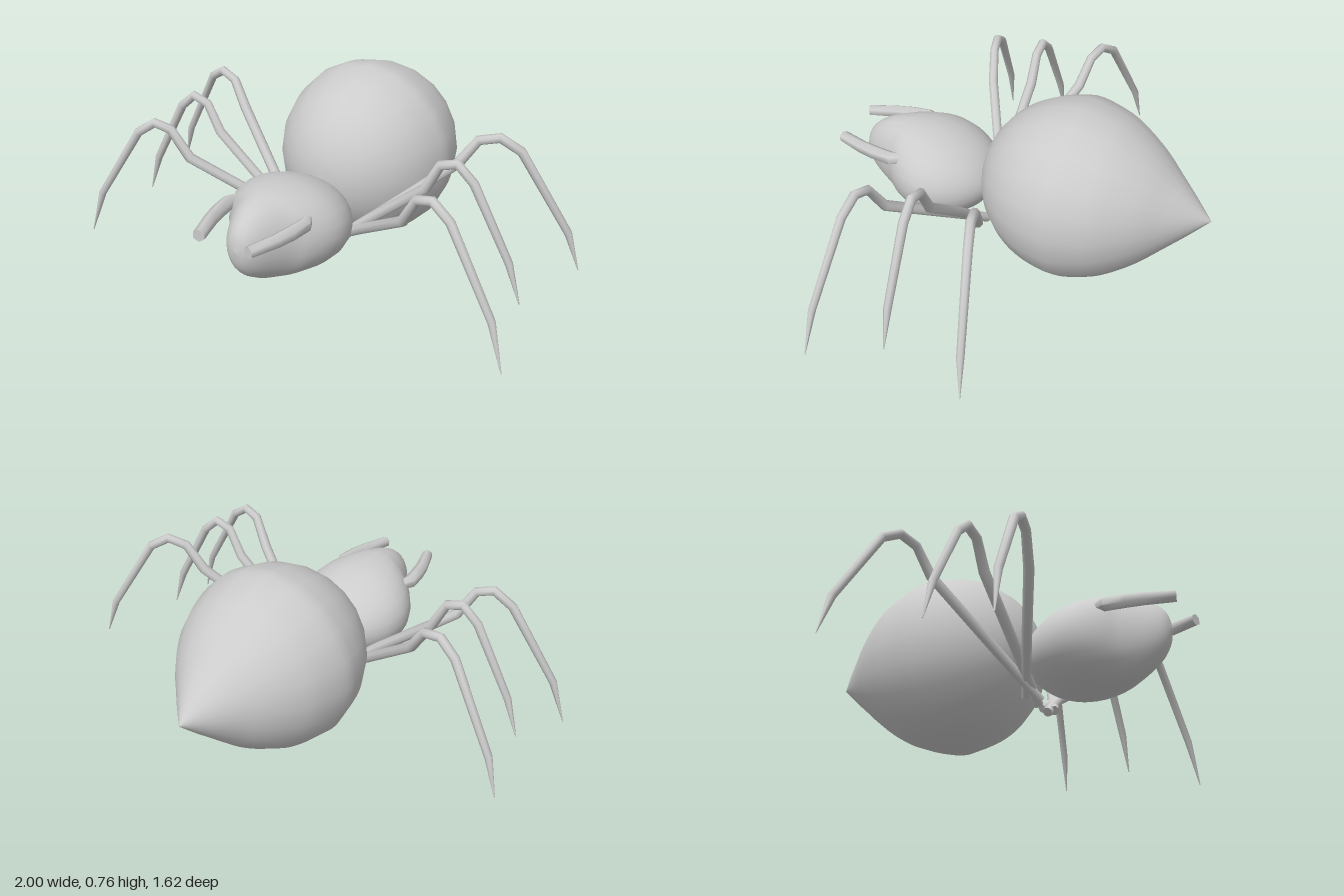
import * as THREE from 'three';
import { toCreasedNormals } from 'three/addons/utils/BufferGeometryUtils.js';

const material = new THREE.MeshStandardMaterial({ color: 0xcccccc });

function addMesh(parent, geometry, name) {
  const mesh = new THREE.Mesh(geometry, material);
  mesh.name = name;
  parent.add(mesh);
  return mesh;
}

// Skin a list of rings, each with the same number of points
function skin(rings) {
  const n = rings[0].length, index = [];
  for (let i = 0; i < rings.length - 1; i++) {
    for (let j = 0; j < n; j++) {
      const a = i * n + j, b = i * n + (j + 1) % n;
      index.push(a, b, a + n, b, b + n, a + n);
    }
  }
  const geometry = new THREE.BufferGeometry().setFromPoints(rings.flat());
  geometry.setIndex(index);
  geometry.computeVertexNormals();
  return geometry;
}

// Round limb through points [x, y, z, radius], closed at both ends
function limb(path, sides) {
  const pts = path.map(p => new THREE.Vector3(p[0], p[1], p[2]));
  const last = pts.length - 1;
  const span = pts[last].clone().sub(pts[0]);
  const side = new THREE.Vector3(-span.z, 0, span.x).normalize();
  const rings = pts.map((p, i) => {
    const t = new THREE.Vector3();
    if (i > 0) t.add(p.clone().sub(pts[i - 1]).normalize());
    if (i < last) t.add(pts[i + 1].clone().sub(p).normalize());
    t.normalize();
    const b = t.clone().cross(side).normalize();
    const n = b.clone().cross(t);
    return Array.from({ length: sides }, (_, j) => {
      const a = (j + 0.5) / sides * Math.PI * 2;
      return p.clone().addScaledVector(n, path[i][3] * Math.cos(a)).addScaledVector(b, path[i][3] * Math.sin(a));
    });
  });
  const point = p => Array.from({ length: sides }, () => p.clone());
  return toCreasedNormals(skin([point(pts[0]), ...rings, point(pts[last])]), 1.1);
}

// Abdomen: pointed tail running into a rounded front
function abdomenGeometry() {
  const profile = [[0, -0.81], [0.085, -0.725], [0.165, -0.64], [0.235, -0.565], [0.297, -0.48], [0.345, -0.39]]
    .map(p => new THREE.Vector2(...p));
  for (let i = 0; i <= 8; i++) {
    const a = i / 8 * Math.PI / 2;
    profile.push(new THREE.Vector2(0.38 * Math.cos(a), -0.26 + 0.42 * Math.sin(a)));
  }
  profile[profile.length - 1].x = 0;
  const smooth = new THREE.SplineCurve(profile).getPoints(42);
  smooth.forEach(p => { p.x = Math.max(p.x, 0); });
  return new THREE.LatheGeometry(smooth, 20).rotateX(Math.PI / 2).translate(0, 0.39, 0);
}

// Head: oval sections [z, half width, top, bottom], pinched to a tall narrow snout
function headGeometry() {
  const sections = [
    [0.13, 0, 0.3, 0.3], [0.145, 0.09, 0.36, 0.245], [0.2, 0.17, 0.425, 0.185], [0.28, 0.228, 0.475, 0.145],
    [0.37, 0.25, 0.507, 0.132], [0.45, 0.235, 0.518, 0.134], [0.52, 0.195, 0.518, 0.143],
    [0.57, 0.15, 0.511, 0.155], [0.63, 0.112, 0.493, 0.182], [0.69, 0.077, 0.455, 0.225],
    [0.727, 0.042, 0.408, 0.28], [0.74, 0, 0.345, 0.345]];
  const plan = new THREE.CatmullRomCurve3(sections.map(s => new THREE.Vector3(s[0], s[1], 0)), false, 'catmullrom');
  const rise = new THREE.CatmullRomCurve3(sections.map(s => new THREE.Vector3(0, s[2], s[3])), false, 'catmullrom');
  const rings = [];
  for (let i = 0; i <= 33; i++) {
    const p = plan.getPoint(i / 33), r = rise.getPoint(i / 33);
    rings.push(Array.from({ length: 24 }, (_, j) => {
      const a = j / 24 * Math.PI * 2;
      return new THREE.Vector3(p.y * Math.cos(a), (r.y + r.z) / 2 + (r.y - r.z) / 2 * Math.sin(a), p.x);
    }));
  }
  return skin(rings);
}

// Left limbs as [x, y, z, radius]; the right ones are mirrored
const LIMBS = {
  FrontLeg: [[0.07, 0.15, 0.14, 0.02], [0.25, 0.28, 0.235, 0.022], [0.5, 0.455, 0.375, 0.022], [0.57, 0.575, 0.4, 0.02],
    [0.64, 0.595, 0.415, 0.02], [0.72, 0.54, 0.43, 0.019], [0.92, 0.22, 0.475, 0.016], [0.98, 0.03, 0.495, 0.002]],
  MiddleLeg: [[0.04, 0.115, 0.18, 0.02], [0.25, 0.3, 0.18, 0.022], [0.49, 0.5, 0.18, 0.022], [0.55, 0.615, 0.18, 0.02],
    [0.62, 0.637, 0.18, 0.02], [0.69, 0.575, 0.18, 0.019], [0.85, 0.285, 0.18, 0.016], [0.905, 0.12, 0.18, 0.002]],
  BackLeg: [[0.06, 0.125, 0.2, 0.02], [0.25, 0.29, 0.1, 0.022], [0.52, 0.525, -0.04, 0.022], [0.59, 0.63, -0.065, 0.02],
    [0.67, 0.65, -0.088, 0.02], [0.75, 0.6, -0.115, 0.019], [0.95, 0.27, -0.172, 0.016], [1.0, 0.11, -0.188, 0.002]],
  Palp: [[0.15, 0.42, 0.47, 0.02], [0.175, 0.418, 0.54, 0.03], [0.165, 0.417, 0.62, 0.03],
    [0.15, 0.416, 0.69, 0.028], [0.112, 0.416, 0.805, 0.025]],
};

export function createModel() {
  const model = new THREE.Group();
  model.name = 'spider';
  addMesh(model, abdomenGeometry(), 'abdomen');
  addMesh(model, headGeometry(), 'head');

  for (const [label, s] of [['left', 1], ['right', -1]]) {
    for (const [part, path] of Object.entries(LIMBS)) {
      const mirrored = path.map(([x, y, z, r]) => [x * s, y, z, r]);
      addMesh(model, limb(mirrored, part === 'Palp' ? 6 : 8), label + part);
    }
  }
  return model;
}
